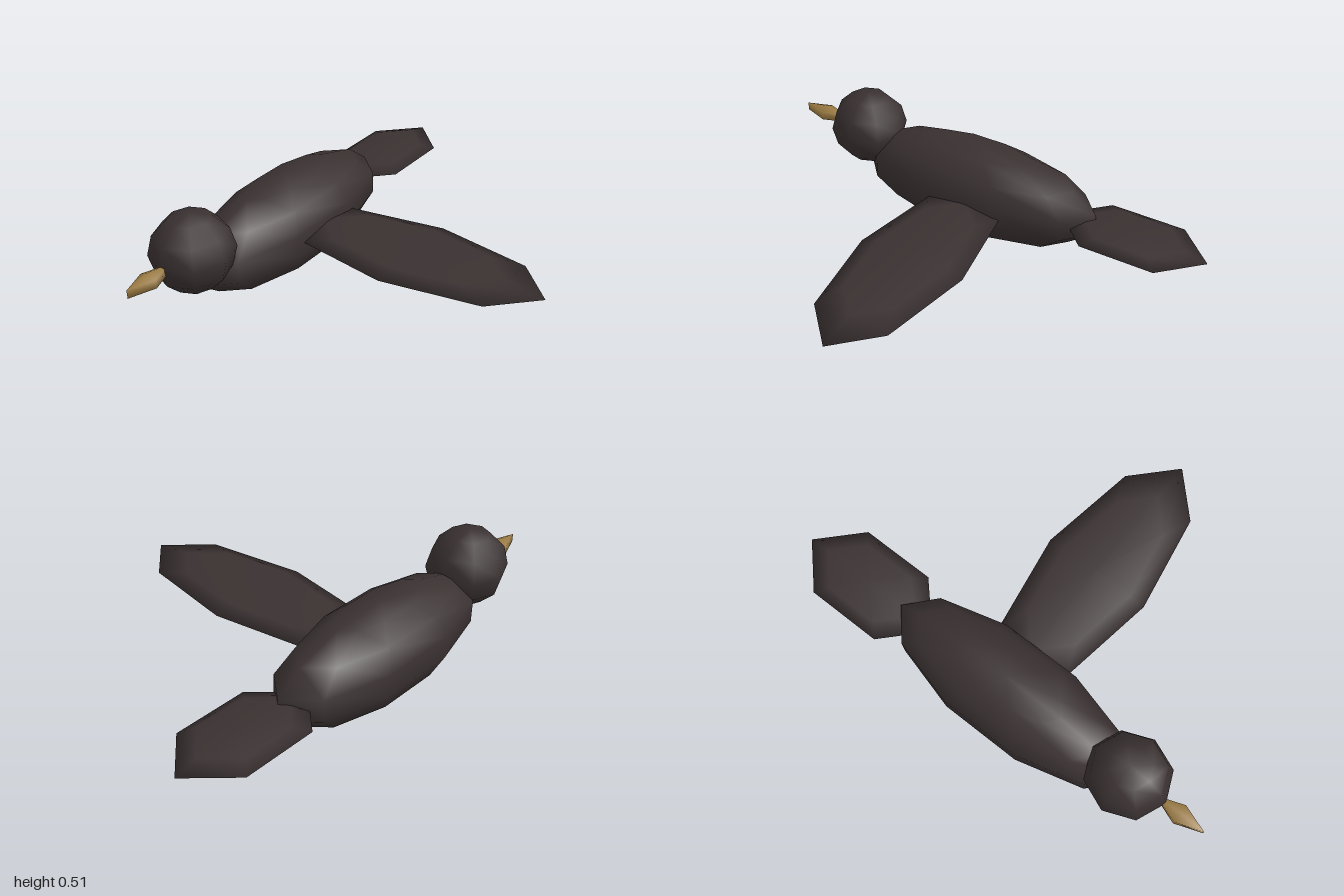
import * as THREE from 'three';

export function createModel() {
  const group = new THREE.Group();
  const feather = new THREE.MeshStandardMaterial({ color: 0x3a3131 });
  feather.name = 'dark feather';
  const horn = new THREE.MeshStandardMaterial({ color: 0x9a7a42 });
  horn.name = 'golden horn';

  // Low-poly ellipsoid; turned so that a corner of its outline points along z
  function ellipsoid(name, material, sides, rows, radii, position) {
    const geometry = new THREE.SphereGeometry(1, sides, rows);
    geometry.rotateY(Math.PI / 2);
    geometry.scale(...radii);
    const mesh = new THREE.Mesh(geometry, material);
    mesh.name = name;
    mesh.position.set(...position);
    group.add(mesh);
  }

  const midX = -0.51; // centre line of the bird
  ellipsoid('body', feather, 10, 7, [0.213, 0.214, 0.585], [midX, 0.214, 0.07]);
  ellipsoid('head', feather, 8, 6, [0.169, 0.169, 0.176], [midX, 0.337, 0.65]);
  ellipsoid('beak', horn, 4, 3, [0.045, 0.036, 0.127], [midX, 0.325, 0.89]);
  ellipsoid('leftWing', feather, 8, 4, [0.605, 0.036, 0.243], [0.1, 0.217, 0.035]);
  ellipsoid('tail', feather, 6, 4, [0.196, 0.036, 0.33], [midX, 0.217, -0.67]);

  return group;
}
